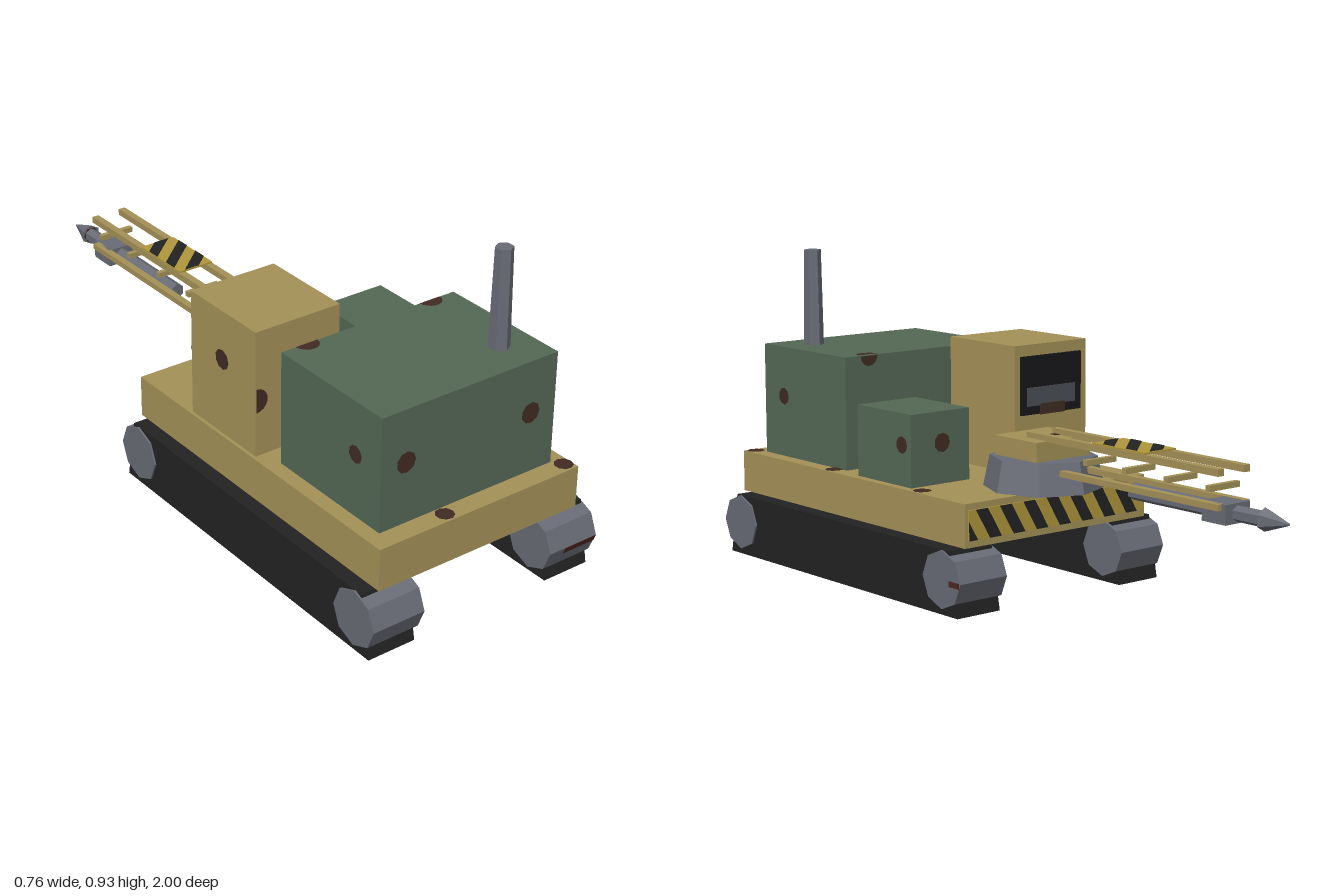
import * as THREE from 'three';

const mat = (name, color) => {
  const m = new THREE.MeshStandardMaterial({ color });
  m.name = name;
  return m;
};

export function createModel() {
  const root = new THREE.Group();
  root.name = 'trackedDrillVehicle';
  const sand = mat('sandPaint', 0xa49158), green = mat('greenPaint', 0x546855), steel = mat('steel', 0x686b75);
  const black = mat('blackRubber', 0x222222), rust = mat('rust', 0x402b22), yellow = mat('hazardYellow', 0xb0963c);
  const glass = mat('darkGlass', 0x17181b), glint = mat('glassGlint', 0x4b4e54), redRust = mat('redRust', 0x50251f);

  const add = (name, geo, material, x = 0, y = 0, z = 0, parent = root) => {
    const m = new THREE.Mesh(geo, material);
    m.name = name;
    m.position.set(x, y, z);
    parent.add(m);
    return m;
  };
  // Box given by its minimum and maximum on each axis
  const box = (name, material, x0, x1, y0, y1, z0, z1) =>
    add(name, new THREE.BoxGeometry(x1 - x0, y1 - y0, z1 - z0), material, (x0 + x1) / 2, (y0 + y1) / 2, (z0 + z1) / 2);
  // Low-poly cylinder with flat faces
  const prism = (rTop, rBottom, h, sides) => {
    const g = new THREE.CylinderGeometry(rTop, rBottom, h, sides).toNonIndexed();
    g.computeVertexNormals();
    return g;
  };
  const facing = {
    front: [0, 0, 0], back: [0, Math.PI, 0], right: [0, Math.PI / 2, 0], left: [0, -Math.PI / 2, 0],
    top: [-Math.PI / 2, 0, 0], bottom: [Math.PI / 2, 0, 0],
  };

  // Tracks with octagonal end wheels
  const side = new THREE.Shape([[-0.975, 0], [0.135, 0], [0.1, 0.183], [-0.94, 0.183]].map(p => new THREE.Vector2(...p)));
  for (const s of [-1, 1]) {
    const g = new THREE.ExtrudeGeometry(side, { depth: 0.15, bevelEnabled: false });
    g.translate(0, 0, -0.075).rotateY(Math.PI / 2);
    add('track', g, black, s * 0.3, 0, 0);
    for (const z of [0.917, -0.072])
      add('trackWheel', prism(0.083, 0.083, 0.165, 8).rotateZ(Math.PI / 2), steel, s * 0.298, 0.1, z);
  }

  // Hull, engine housing, cab, side locker and exhaust
  box('chassis', sand, -0.335, 0.335, 0.187, 0.311, -0.12, 0.96);
  box('engineHousing', green, -0.29, 0.29, 0.311, 0.645, 0.485, 0.9);
  box('cab', sand, -0.325, -0.05, 0.311, 0.685, 0.125, 0.42);
  box('sideLocker', green, 0.1, 0.31, 0.311, 0.52, 0.15, 0.4);
  add('exhaust', prism(0.025, 0.03, 0.288, 6), steel, 0.185, 0.789, 0.79);
  box('cabWindow', glass, -0.3, -0.07, 0.48, 0.652, 0.118, 0.126);
  box('windowGlint', glint, -0.275, -0.09, 0.505, 0.56, 0.116, 0.119);

  // Turntable and boom mount
  add('turntable', prism(0.153, 0.172, 0.09, 8), steel, 0, 0.355, -0.06);
  box('boomMount', sand, -0.1, 0.1, 0.39, 0.456, -0.145, 0.035);

  // Lattice boom: four rails joined by cross bars and posts
  for (const s of [-1, 1]) {
    const x = s * 0.048;
    box('upperRail', sand, x - 0.011, x + 0.011, 0.453, 0.472, -0.805, -0.055);
    box('lowerRail', sand, x - 0.011, x + 0.011, 0.363, 0.38, -0.805, -0.195);
  }
  for (const z of [-0.295, -0.45, -0.61, -0.765])
    box('crossBar', sand, -0.055, 0.055, 0.408, 0.424, z - 0.008, z + 0.008);

  // Drill with its drive
  const rod = (name, r0, r1, z0, z1, sides, material = steel) =>
    add(name, prism(r1, r0, z0 - z1, sides).rotateX(-Math.PI / 2), material, 0, 0.352, (z0 + z1) / 2);
  rod('hydraulicRam', 0.024, 0.024, -0.43, -0.74, 6);
  box('drillMotor', steel, -0.045, 0.045, 0.326, 0.38, -0.82, -0.735);
  rod('drillShaft', 0.022, 0.022, -0.82, -0.92, 6);
  rod('drillTip', 0.032, 0.003, -0.915, -1, 6);
  add('tipRust', new THREE.CircleGeometry(0.026, 6), redRust, 0, 0.352, -0.914).rotation.y = 0;

  // Hazard plate: yellow sheet with slanted stripes clipped to its width
  const clip = (pts, edge, sign) => pts.flatMap((p, i) => {
    const q = pts[(i + 1) % pts.length], a = sign * (edge - p.x), b = sign * (edge - q.x);
    const out = a >= 0 ? [p] : [];
    if (a * b < 0) out.push(p.clone().lerp(q, a / (a - b)));
    return out;
  });
  const hazard = (name, w, h, lean, pitch, dir, x, y, z) => {
    const plate = new THREE.Group();
    plate.name = name;
    plate.position.set(x, y, z);
    plate.rotation.set(...facing[dir]);
    root.add(plate);
    add('plate', new THREE.BoxGeometry(w, h, 0.005), yellow, 0, 0, 0, plate);
    const n = Math.ceil((w / 2 + Math.abs(lean)) / pitch) + 1;
    for (let i = -n; i <= n; i++) {
      const u = i * pitch, t = pitch / 4;
      let pts = [[u - t - lean / 2, -h / 2], [u + t - lean / 2, -h / 2], [u + t + lean / 2, h / 2], [u - t + lean / 2, h / 2]]
        .map(p => new THREE.Vector2(...p));
      pts = clip(clip(pts, w / 2, 1), -w / 2, -1);
      if (pts.length > 2) add('stripe', new THREE.ShapeGeometry(new THREE.Shape(pts)), black, 0, 0, 0.004, plate);
    }
  };
  hazard('rearHazardPlate', 0.65, 0.085, -0.05, 0.085, 'back', 0, 0.25, -0.122);
  hazard('boomHazardPlate', 0.115, 0.205, 0.23, 0.1, 'top', 0, 0.4745, -0.43);

  // Rust spots; start and sweep cut a spot off where it meets an edge
  const spot = (dir, x, y, z, r, start = 0, sweep = Math.PI * 2) => {
    const m = add('rustSpot', new THREE.CircleGeometry(r, 9, start, sweep), rust, x, y, z);
    m.rotation.set(...facing[dir]);
  };
  const P = Math.PI;
  for (const x of [-0.21, 0.205]) {
    spot('front', x, 0.492, 0.902, 0.031);
    spot('top', x, 0.647, 0.487, 0.035, P, P);
    spot('back', x, 0.643, 0.483, 0.03, P, P);
  }
  for (const s of [-1, 1]) spot(s > 0 ? 'right' : 'left', s * 0.292, 0.495, 0.8, 0.026);
  spot('left', -0.327, 0.54, 0.27, 0.03);
  spot('front', -0.323, 0.48, 0.422, 0.036, -P / 2, P);
  spot('right', 0.312, 0.43, 0.19, 0.025);
  spot('back', 0.2, 0.43, 0.148, 0.028);
  for (const [x, z] of [[-0.1, 0.93], [0.31, 0.93], [0.31, 0.52], [0.31, 0.1], [-0.1, 0.1]])
    spot('top', x, 0.313, z, 0.027);
  for (const [x, z] of [[0, 0.25], [0, 0.7]]) spot('bottom', x, 0.185, z, 0.03);
  box('mountRust', rust, -0.06, 0.04, 0.454, 0.458, -0.085, -0.065);
  box('windowRust', rust, -0.235, -0.14, 0.478, 0.51, 0.115, 0.118);

  // Rust streak on the front left wheel
  const streak = add('wheelRust', new THREE.BoxGeometry(0.11, 0.022, 0.006), redRust, 0.325, 0.09, 0.994);
  streak.rotation.x = 0.39;
  box('wheelSideRust', redRust, 0.379, 0.382, 0.086, 0.102, -0.15, -0.105);

  return root;
}
